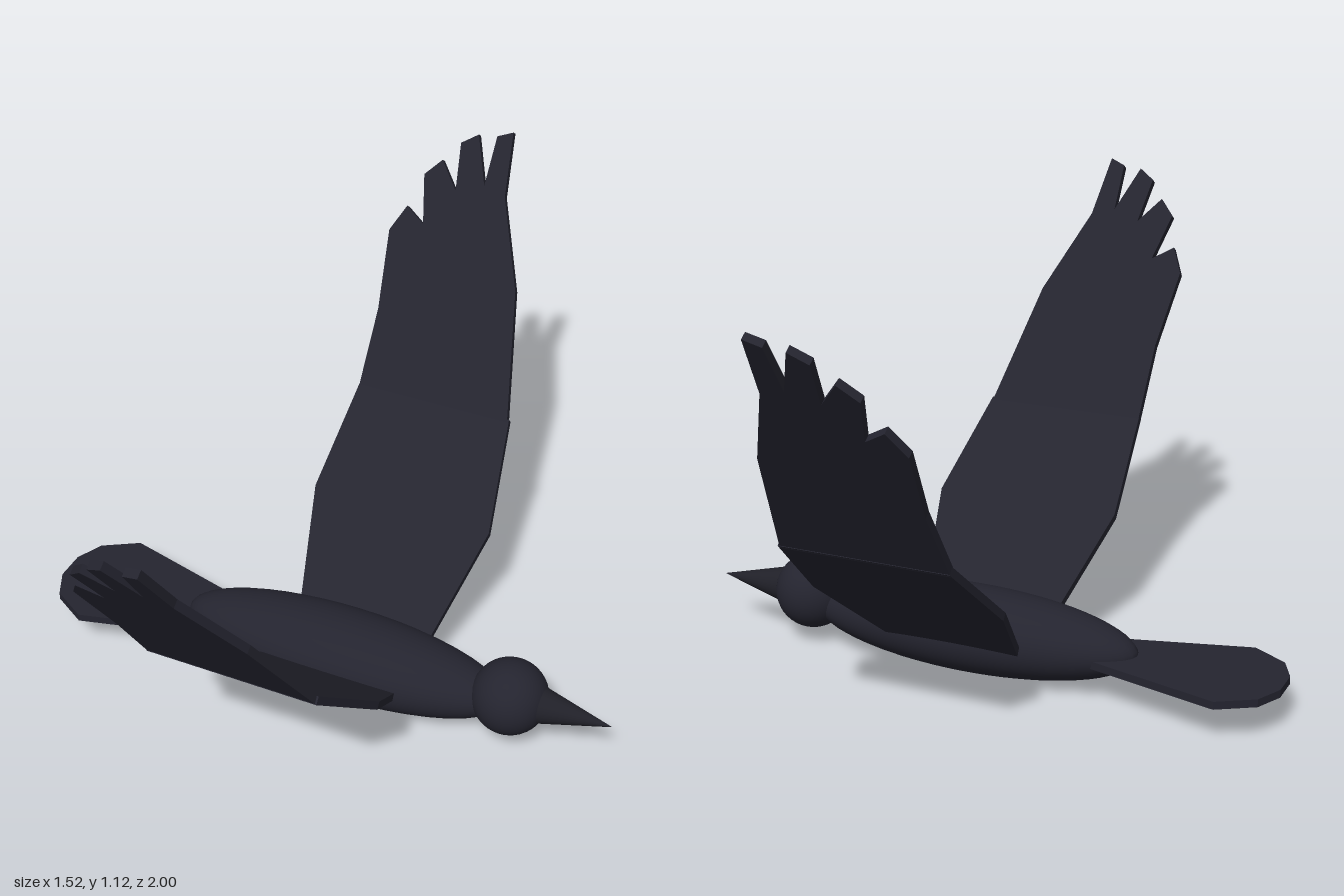
import * as THREE from 'three';

const THICK = 0.02;

// Flat plate cut from an outline of [x, y] points, centred on its own plane
function plate(name, points, material) {
  const shape = new THREE.Shape(points.map(([x, y]) => new THREE.Vector2(x, y)));
  const geometry = new THREE.ExtrudeGeometry(shape, { depth: THICK, bevelEnabled: false });
  geometry.translate(0, 0, -THICK / 2);
  const mesh = new THREE.Mesh(geometry, material);
  mesh.name = name;
  return mesh;
}

// Wing panel: outline is [x, distance from the midline], tilted up from start to end ([z, y])
function wingPanel(name, outline, start, end, side, material) {
  const angle = Math.atan2(end[1] - start[1], end[0] - start[0]);
  const points = outline.map(([x, z]) => [x, (z - start[0]) / Math.cos(angle)]);
  const mesh = plate(name, points, material);
  mesh.position.set(0, start[1], side * start[0]);
  mesh.rotation.x = side * (Math.PI / 2 - angle);
  // on the far side the tilted plate rises the same way but spreads toward -z
  return mesh;
}

export function createModel() {
  const bird = new THREE.Group();
  bird.name = 'bird';
  const plumage = new THREE.MeshStandardMaterial({ color: 0x24242f });
  plumage.name = 'dark plumage';
  const horn = new THREE.MeshStandardMaterial({ color: 0x202028 });
  horn.name = 'dark beak';

  // Body and head
  const body = new THREE.Mesh(new THREE.SphereGeometry(1, 40, 28), plumage);
  body.name = 'body';
  body.scale.set(0.44, 0.108, 0.127);
  body.position.set(0.045, 0.112, 0);
  const head = new THREE.Mesh(new THREE.SphereGeometry(0.097, 32, 24), plumage);
  head.name = 'head';
  head.position.set(0.495, 0.136, 0);

  // Beak points along +x
  const beak = new THREE.Mesh(new THREE.ConeGeometry(0.046, 0.18, 24), horn);
  beak.name = 'beak';
  beak.rotation.z = -Math.PI / 2;
  beak.position.set(0.67, 0.137, 0);
  bird.add(body, head, beak);

  // Tail fan, mirrored about the midline
  const half = [[-0.28, 0.07], [-0.64, 0.165], [-0.73, 0.11], [-0.763, 0.04]];
  const fan = [...half, ...half.map(([x, z]) => [x, -z]).reverse()];
  const tail = plate('tail', fan, plumage);
  tail.rotation.x = -Math.PI / 2;
  tail.position.y = 0.105;
  bird.add(tail);

  // Wings: inner panel, then a steeper outer panel with feather fingers
  const root = [0.08, 0.095], fold = [0.58, 0.513], tip = [0.99, 1.113];
  const inner = [[-0.12, 0.08], [0.222, 0.08], [0.293, 0.352], [0.248, 0.585], [-0.175, 0.585], [-0.198, 0.352]];
  const outer = [
    [-0.175, 0.577], [0.246, 0.577], [0.18, 0.768], [0.09, 0.898],
    [0.07, 0.992], [0.03, 0.982],
    [0.028, 0.908], [-0.02, 0.979], [-0.062, 0.962],
    [-0.045, 0.892], [-0.10, 0.932], [-0.14, 0.906],
    [-0.11, 0.834], [-0.165, 0.855], [-0.198, 0.815],
    [-0.175, 0.697],
  ];
  for (const side of [1, -1]) {
    const wing = new THREE.Group();
    wing.name = side > 0 ? 'leftWing' : 'rightWing';
    // the far wing turns its panels by mirroring both outline and tilt
    const near = wingPanel('innerWing', inner, root, fold, side, plumage);
    const far = wingPanel('outerWing', outer, fold, tip, side, plumage);
    wing.add(near, far);
    bird.add(wing);
  }
  return bird;
}
